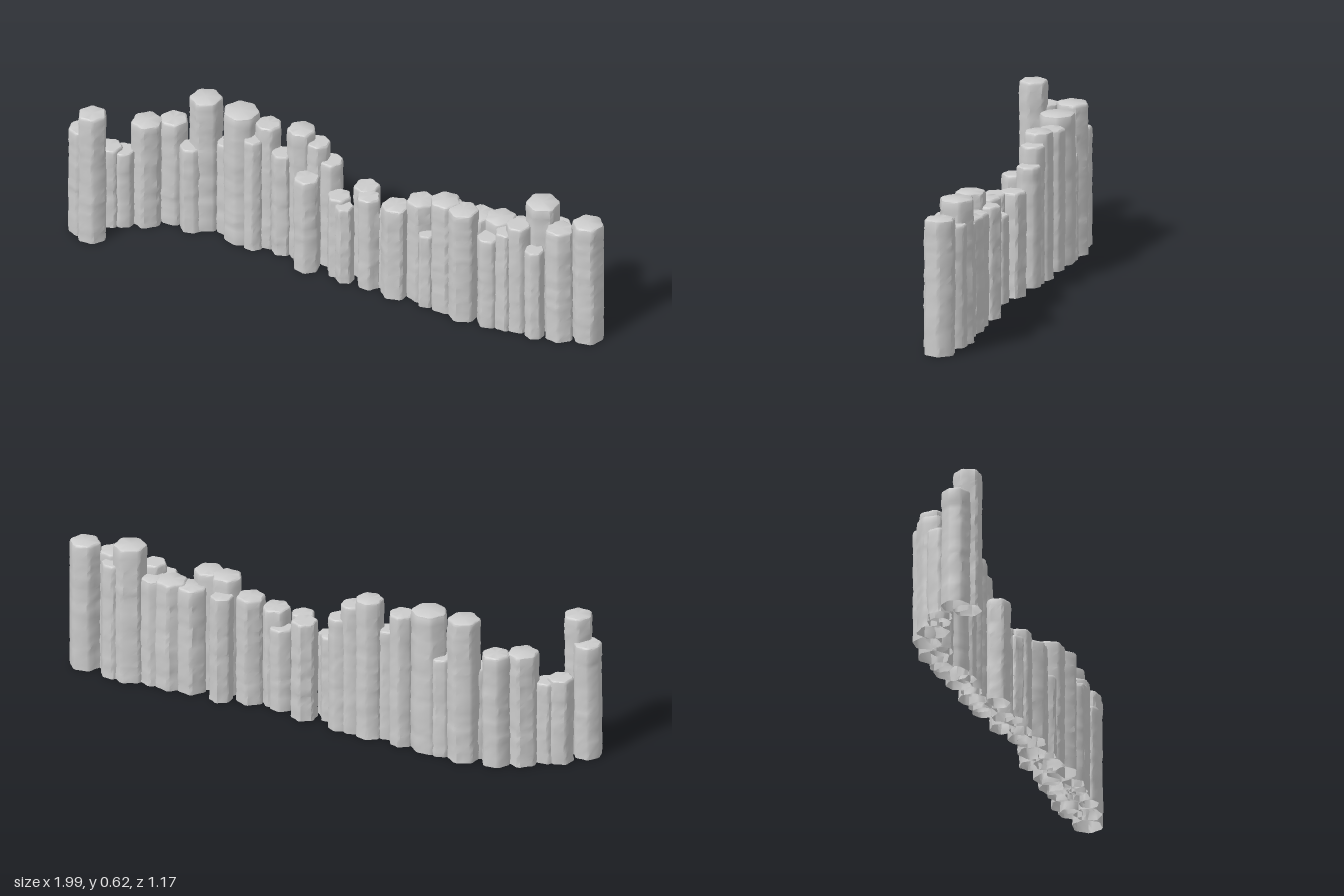
import * as THREE from 'three';
import { toCreasedNormals } from 'three/addons/utils/BufferGeometryUtils.js';

// Main columns along the curved wall: x, z, radius, height
const mainColumns = [
  [-0.875, 0.52, 0.061, 0.60], [-0.91, 0.40, 0.055, 0.37], [-0.82, 0.28, 0.067, 0.487],
  [-0.76, 0.19, 0.062, 0.487], [-0.645, 0.12, 0.069, 0.62], [-0.49, 0.07, 0.076, 0.613],
  [-0.39, 0.015, 0.055, 0.58], [-0.25, -0.04, 0.06, 0.605], [-0.18, -0.065, 0.052, 0.565],
  [-0.13, -0.09, 0.052, 0.495], [0.03, -0.14, 0.055, 0.43], [0.09, -0.1, 0.05, 0.428],
  [0.2, -0.145, 0.062, 0.427], [0.28, -0.21, 0.062, 0.465], [0.40, -0.235, 0.065, 0.517],
  [0.49, -0.25, 0.066, 0.512], [0.58, -0.37, 0.068, 0.47], [0.70, -0.36, 0.053, 0.50],
  [0.74, -0.45, 0.072, 0.59], [0.85, -0.445, 0.06, 0.522], [0.93, -0.525, 0.066, 0.556],
];
// Lower columns that fill the gaps between them
const fillerColumns = [
  [-0.94, 0.515, 0.06, 0.497], [-0.87, 0.36, 0.05, 0.355], [-0.665, 0.18, 0.05, 0.40],
  [-0.56, 0.08, 0.05, 0.43], [-0.41, 0.075, 0.042, 0.52], [-0.31, 0.01, 0.048, 0.48],
  [-0.16, 0.01, 0.056, 0.44], [-0.05, -0.065, 0.05, 0.375], [0.0, -0.05, 0.04, 0.357],
  [0.15, -0.16, 0.052, 0.36], [0.34, -0.19, 0.04, 0.345], [0.36, -0.295, 0.05, 0.46],
  [0.50, -0.33, 0.065, 0.462], [0.60, -0.29, 0.05, 0.42], [0.65, -0.40, 0.06, 0.463],
  [0.66, -0.325, 0.045, 0.46], [0.80, -0.49, 0.05, 0.50], [0.78, -0.375, 0.042, 0.415],
];

function seededRandom(seed) {
  let s = seed * 7919 + 17;
  return () => (s = (s * 16807) % 2147483647) / 2147483647;
}

// Weathered prism: rounded corners, uneven horizontal layers, bevelled top, open foot
function columnGeometry(radius, height, seed) {
  const rand = seededRandom(seed + 1);
  for (let i = 0; i < 5; i++) rand();
  const sides = rand() < 0.3 ? 7 : 6;
  const turn = rand() * Math.PI;
  const sector = (Math.PI * 2) / sides;

  // Outline: two points around each corner and one in the middle of each side
  const outline = [];
  for (let i = 0; i < sides; i++) {
    const stretch = 0.95 + rand() * 0.07;
    for (const [offset, scale] of [[-0.11, 0.98], [0.11, 0.98], [0.5, Math.cos(sector / 2)]]) {
      const a = turn + (i + offset) * sector;
      const k = radius * scale * (offset === 0.5 ? 0.99 : stretch);
      outline.push([Math.cos(a) * k, Math.sin(a) * k]);
    }
  }

  // Rings: y, scale, sideways drift
  const rings = [];
  const layers = Math.round(height / 0.021);
  let dx = 0, dz = 0;
  for (let j = 0; j < layers; j++) {
    dx = dx * 0.7 + (rand() - 0.5) * 0.0025;
    dz = dz * 0.7 + (rand() - 0.5) * 0.0025;
    const y = j === 0 ? 0 : ((j + (rand() - 0.5) * 0.5) / layers) * (height - 0.015);
    rings.push([y, 0.975 + rand() * 0.04, dx, dz, 0.0022]);
  }
  rings.push([height - 0.012, 0.985, dx, dz, 0.001]);
  rings.push([height - 0.004, 0.95, dx, dz, 0.001]);
  rings.push([height, 0.86, dx, dz, 0]);

  const positions = [], index = [];
  const n = outline.length;
  for (const [y, scale, ox, oz, rough] of rings) {
    for (const [px, pz] of outline) {
      const k = scale + ((rand() - 0.5) * rough) / radius;
      positions.push(px * k + ox, y + (y > 0 ? (rand() - 0.5) * rough : 0), pz * k + oz);
    }
  }
  for (let j = 0; j < rings.length - 1; j++) {
    for (let i = 0; i < n; i++) {
      const a = j * n + i, b = j * n + ((i + 1) % n);
      index.push(a, a + n, b, b, a + n, b + n);
    }
  }
  // Top face
  const top = (rings.length - 1) * n;
  positions.push(dx, height + 0.001, dz);
  for (let i = 0; i < n; i++) index.push(top + i, top + n, top + ((i + 1) % n));

  const geometry = new THREE.BufferGeometry();
  geometry.setAttribute('position', new THREE.Float32BufferAttribute(positions, 3));
  geometry.setIndex(index);
  return toCreasedNormals(geometry, 0.65);
}

export function createModel() {
  const model = new THREE.Group();
  model.name = 'basaltColumnWall';
  const stone = new THREE.MeshStandardMaterial({ color: 0xcccccc, side: THREE.DoubleSide });

  let seed = 1;
  const addColumns = (list, groupName, partName) => {
    const group = new THREE.Group();
    group.name = groupName;
    list.forEach(([x, z, radius, height], i) => {
      const column = new THREE.Mesh(columnGeometry(radius, height, seed++), stone);
      column.name = `${partName}${i + 1}`;
      column.position.set(x, 0, z);
      group.add(column);
    });
    model.add(group);
  };
  addColumns(mainColumns, 'mainColumns', 'mainColumn');
  addColumns(fillerColumns, 'fillerColumns', 'fillerColumn');
  return model;
}
